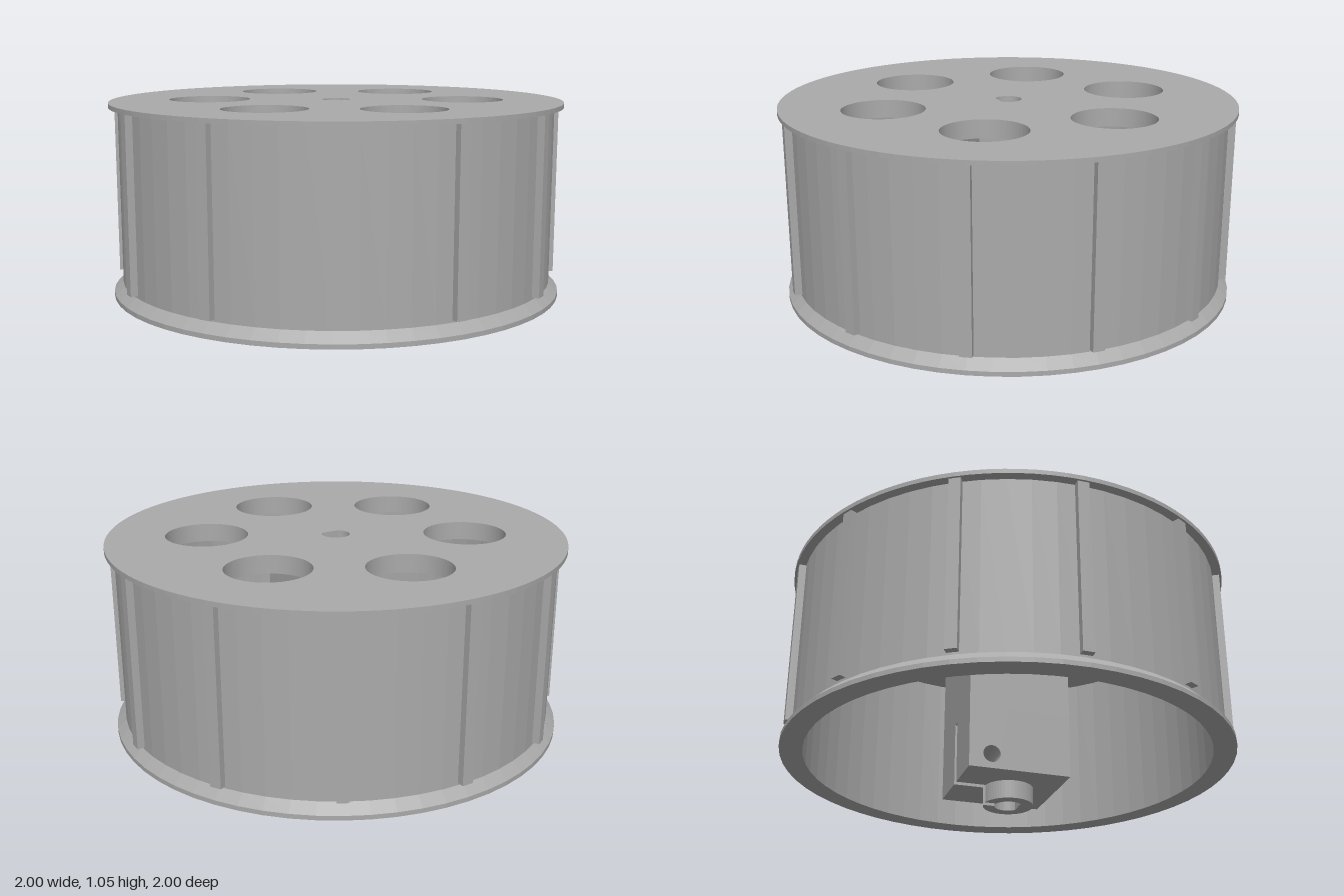
import * as THREE from 'three';

const gray = new THREE.MeshStandardMaterial({ color: 0xaaaaaa });
const PI = Math.PI;

// Bore with a flat on its +z side, clamp slit on its -z side
const BORE = 0.06, FLAT = Math.asin(0.045 / BORE), SLIT = 0.017;

function add(group, name, geometry) {
  const mesh = new THREE.Mesh(geometry, gray);
  mesh.name = name;
  group.add(mesh);
  return mesh;
}

// Extrudes a plan shape (x, -z) upward from y0 to y1
function slab(shape, y0, y1, curveSegments = 24) {
  const g = new THREE.ExtrudeGeometry(shape, { depth: y1 - y0, bevelEnabled: false, curveSegments });
  return g.rotateX(-PI / 2).translate(0, y0, 0);
}

function rect(x0, y0, x1, y1) {
  return new THREE.Shape([[x0, y0], [x1, y0], [x1, y1], [x0, y1]].map(p => new THREE.Vector2(...p)));
}

function circle(x, y, r) {
  return new THREE.Path().absarc(x, y, r, 0, 2 * PI, false);
}

function boreHole() {
  const hole = new THREE.Path().absarc(0, 0, BORE, -FLAT, PI + FLAT, false);
  hole.closePath();
  return hole;
}

// Continues an outline from the slit around the bore and back to the slit
function traceOpenBore(shape) {
  const a = Math.asin(SLIT / BORE);
  shape.absarc(0, 0, BORE, PI / 2 + a, PI + FLAT, false);
  shape.absarc(0, 0, BORE, -FLAT, PI / 2 - a, false);
  shape.closePath();
  return shape;
}

function pierced(radius) {
  const shape = new THREE.Shape().absarc(0, 0, radius, 0, 2 * PI, false);
  for (let i = 0; i < 6; i++) {
    const t = PI / 6 + i * PI / 3;
    shape.holes.push(circle(0.565 * Math.cos(t), 0.565 * Math.sin(t), 0.18));
  }
  shape.holes.push(boreHole());
  return shape;
}

export function createModel() {
  const wheel = new THREE.Group();
  wheel.name = 'wheel';

  // Hollow drum with a chamfered lower flange
  const profile = [[0.9, 0.2], [1, 0.2], [1, 0.22], [0.96, 0.26], [0.96, 1.03], [0.9, 1.03], [0.9, 0.2]]
    .map(p => new THREE.Vector2(...p));
  const drum = new THREE.LatheGeometry(profile, 60).toNonIndexed();
  drum.computeVertexNormals();
  add(wheel, 'drum', drum);

  // Top plate: wide rim above, web inside the drum below
  add(wheel, 'topPlate', slab(pierced(1), 1.03, 1.05, 48));
  add(wheel, 'topWeb', slab(pierced(0.93), 0.97, 1.03, 48));

  // Twelve grip ribs
  const ribs = new THREE.Group();
  ribs.name = 'ribs';
  const ribGeometry = new THREE.BoxGeometry(0.05, 0.76, 0.05).translate(0, 0.65, 0.965);
  for (let i = 0; i < 12; i++) add(ribs, 'rib', ribGeometry).rotation.y = i * PI / 6;
  wheel.add(ribs);

  // Square hub, solid above the slit
  const hub = new THREE.Group();
  hub.name = 'hub';
  const upper = rect(-0.22, -0.21, 0.22, 0.24);
  upper.holes.push(boreHole());
  add(hub, 'hubUpper', slab(upper, 0.36, 0.97));

  // Lower hub around the bore, open to the slit
  const lower = new THREE.Shape();
  lower.moveTo(SLIT, 0.07);
  [[0.22, 0.07], [0.22, -0.21], [-0.22, -0.21], [-0.22, 0.07], [-SLIT, 0.07]]
    .forEach(p => lower.lineTo(...p));
  add(hub, 'hubLower', slab(traceOpenBore(lower), 0.08, 0.36));

  // Two clamp jaws with the cross screw hole
  for (const side of [1, -1]) {
    const jaw = rect(0.07, 0.08, 0.24, 0.36);
    jaw.holes.push(circle(0.14, 0.145, side > 0 ? 0.048 : 0.038));
    const g = new THREE.ExtrudeGeometry(jaw, { depth: 0.22 - SLIT, bevelEnabled: false, curveSegments: 24 });
    g.rotateY(PI / 2).translate(side > 0 ? SLIT : -0.22, 0, 0);
    add(hub, side > 0 ? 'leftJaw' : 'rightJaw', g);
  }

  // Slit collar at the bottom
  const b = Math.asin(SLIT / 0.11);
  const collar = new THREE.Shape().absarc(0, 0, 0.11, PI / 2 - b, PI / 2 + b, true);
  add(hub, 'collar', slab(traceOpenBore(collar), 0, 0.08));
  wheel.add(hub);

  return wheel;
}
